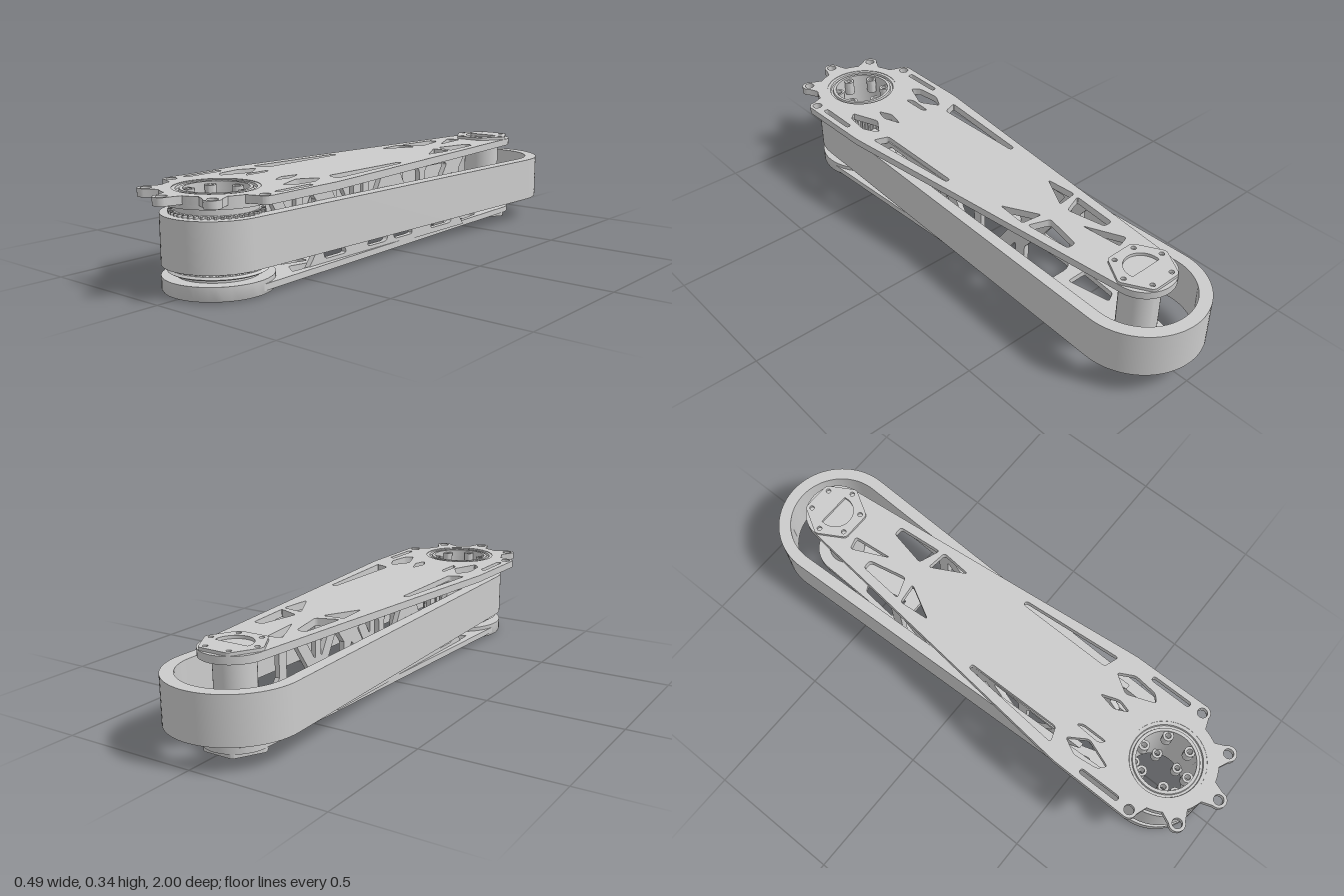
import * as THREE from 'three';
import { toCreasedNormals } from 'three/addons/utils/BufferGeometryUtils.js';

const HUB = 0.75, TIP = -0.77; // z of the two joint axes
const material = new THREE.MeshStandardMaterial({ color: 0xcccccc });
const V = (x, y) => new THREE.Vector2(x, y);
const polar = (cx, cy, r, a) => V(cx + r * Math.cos(a), cy + r * Math.sin(a));
const arc = (cx, cy, r, a0, a1, n = 24) =>
  Array.from({ length: n + 1 }, (_, i) => polar(cx, cy, r, a0 + ((a1 - a0) * i) / n));
const circle = (cx, cy, r, n = 32) => new THREE.Path(arc(cx, cy, r, 0, Math.PI * 2, n).slice(0, n));

// polygon with softened corners
function rounded(pts, r = 0.012) {
  const path = new THREE.Path();
  pts.forEach((p, i) => {
    const toward = (q) => {
      const d = q.clone().sub(p);
      return p.clone().add(d.setLength(Math.min(r, d.length() * 0.45)));
    };
    const a = toward(pts[(i + pts.length - 1) % pts.length]);
    const b = toward(pts[(i + 1) % pts.length]);
    if (i) path.lineTo(a.x, a.y); else path.moveTo(a.x, a.y);
    path.quadraticCurveTo(p.x, p.y, b.x, b.y);
  });
  path.closePath();
  return path;
}
const poly = (list, mirror = 1) => rounded(list.map(([x, z]) => V(x * mirror, z)));

function add(parent, name, geometry) {
  const mesh = new THREE.Mesh(toCreasedNormals(geometry, 0.5), material);
  mesh.name = name;
  parent.add(mesh);
  return mesh;
}

// horizontal slab: outline in (x, z), from y0 up to y1
function slab(parent, name, outline, holes, y0, y1) {
  const shape = new THREE.Shape(outline);
  shape.holes.push(...holes);
  const g = new THREE.ExtrudeGeometry(shape, { depth: y1 - y0, bevelEnabled: false, curveSegments: 5 });
  return add(parent, name, g.rotateX(Math.PI / 2).translate(0, y1, 0));
}

// turned part around a joint axis, closed profile of [radius, y]
function turned(parent, name, profile, z) {
  const pts = [...profile, profile[0]].map(([r, y]) => V(r, y));
  return add(parent, name, new THREE.LatheGeometry(pts, 48).translate(0, 0, z));
}
const ring = (parent, name, rIn, rOut, y0, y1, z) =>
  turned(parent, name, [[rIn, y0], [rOut, y0], [rOut, y1], [rIn, y1]], z);

// outline around two circles joined by their tangents
function loop(rFront, rBack) {
  const t = Math.asin((rBack - rFront) / (HUB - TIP));
  return [...arc(0, HUB, rFront, t, Math.PI - t, 32), ...arc(0, TIP, rBack, Math.PI - t, Math.PI * 2 + t, 40)];
}

function topPlate(parent) {
  // scalloped front edge with five bolt ears
  const ears = [0, 1, 2, 3, 4].map((k) => (k * Math.PI) / 4);
  const outline = [V(0.195, 0), V(0.238, 0.4), V(0.243, 0.45)];
  ears.forEach((a, k) => {
    const c = polar(0, HUB, 0.217, a);
    const first = k === 0 ? 0 : -1.7, last = k === 4 ? 0 : 1.7;
    outline.push(...arc(c.x, c.y, 0.029, a + first, a + last, 12));
    if (k < 4) outline.push(...arc(0, HUB, 0.18, a + 0.24, a + Math.PI / 4 - 0.24, 6));
  });
  outline.push(V(-0.243, 0.45), V(-0.238, 0.4), V(-0.195, 0));
  outline.push(...arc(0, TIP, 0.115, Math.PI, Math.PI * 2));

  const holes = [circle(0, HUB, 0.14, 48)];
  ears.forEach((a) => { const c = polar(0, HUB, 0.217, a); holes.push(circle(c.x, c.y, 0.018, 16)); });
  for (const s of [1, -1]) {
    holes.push(
      poly([[0.07, -0.54], [0.105, -0.54], [0.12, -0.365], [0.04, -0.395]], s),
      poly([[0.045, -0.355], [0.125, -0.345], [0.115, -0.225]], s),
      poly([[0.147, 0.01], [0.165, 0.01], [0.198, 0.4], [0.142, 0.38]], s),
      poly([[0.15, 0.43], [0.182, 0.49], [0.172, 0.58], [0.145, 0.605], [0.105, 0.5]], s),
      poly([[0.203, 0.54], [0.222, 0.54], [0.222, 0.7], [0.202, 0.7]], s));
  }
  holes.push(
    poly([[-0.08, -0.63], [-0.03, -0.645], [-0.015, -0.49]]),
    poly([[0.05, 0.43], [0.075, 0.5], [0.06, 0.55], [0.035, 0.5]]),
    poly([[-0.09, 0.43], [-0.075, 0.45], [-0.075, 0.55], [-0.095, 0.53]]));
  slab(parent, 'topPlate', outline, holes, 0.303, 0.33);
}

function bottomPlate(parent) {
  const holes = [circle(0, HUB, 0.13, 48),
    rounded([V(-0.115, 0.38), V(0.115, 0.38), V(0.105, -0.38), V(-0.105, -0.38)], 0.05)];
  for (const s of [1, -1]) {
    holes.push(
      poly([[0.06, -0.6], [0.1, -0.58], [0.115, -0.43], [0.03, -0.43]], s),
      poly([[0.02, 0.42], [0.08, 0.42], [0.045, 0.53]], s),
      poly([[0.11, 0.42], [0.145, 0.43], [0.14, 0.56], [0.085, 0.52]], s));
  }
  slab(parent, 'bottomPlate', loop(0.18, 0.115), holes, 0.015, 0.037);
}

// upright wall with two triangular windows per bay
function trussWall(parent, name, xOuter) {
  const y0 = 0.03, y1 = 0.31, lo = 0.05, hi = 0.293;
  const shape = new THREE.Shape([V(-0.42, y0), V(0.49, y0), V(0.45, 0.08), V(0.45, 0.26),
    V(0.49, y1), V(-0.42, y1), V(-0.38, 0.26), V(-0.38, 0.08)]);
  const posts = [0.43, 0.24, 0.05, -0.14, -0.355];
  for (let i = 0; i < 4; i++) {
    const a = posts[i + 1] + 0.018, b = posts[i] - 0.018, g = 0.035;
    const flip = (z) => (i % 2 ? a + b - z : z);
    shape.holes.push(
      rounded([V(flip(a), lo + g), V(flip(a), hi), V(flip(b - g), hi)], 0.02),
      rounded([V(flip(b), hi - g), V(flip(b), lo), V(flip(a + g), lo)], 0.02));
  }
  const g = new THREE.ExtrudeGeometry(shape, { depth: 0.02, bevelEnabled: false, curveSegments: 4 });
  add(parent, name, g.rotateY(-Math.PI / 2).translate(xOuter, 0, 0));
}

// hexagonal cap with bolt holes and a D-shaped socket
function shaftCap(parent, name, y0, y1, open) {
  const outline = [], holes = [];
  for (let k = 0; k < 6; k++) {
    const a = (k * Math.PI) / 3, c = polar(0, TIP, 0.092, a);
    outline.push(...arc(c.x, c.y, 0.021, a - Math.PI / 6, a + Math.PI / 6, 6));
    holes.push(circle(c.x, c.y, 0.009, 12));
  }
  if (open) holes.push(new THREE.Path(arc(0, TIP, 0.065, -0.2, Math.PI + 0.2)));
  slab(parent, name, outline, holes, y0, y1);
}

function frontHub(parent) {
  const hub = new THREE.Group();
  hub.name = 'frontHub';
  parent.add(hub);
  // toothed pulley inside the belt
  const teeth = [];
  const n = 44;
  for (let i = 0; i < n; i++) {
    [[0, 0.138], [0.2, 0.154], [0.5, 0.154], [0.7, 0.138]].forEach(([f, r]) =>
      teeth.push(polar(0, HUB, r, ((i + f) / n) * Math.PI * 2)));
  }
  slab(hub, 'pulley', teeth, [circle(0, HUB, 0.105, 48)], 0.072, 0.262);
  turned(hub, 'pulleyFlange', [[0.105, 0.064], [0.155, 0.064], [0.163, 0.069], [0.155, 0.076], [0.105, 0.076]], HUB);
  ring(hub, 'hubSleeve', 0.105, 0.135, 0.03, 0.3, HUB);
  ring(hub, 'upperBearingSeat', 0.12, 0.18, 0.289, 0.303, HUB);
  turned(hub, 'upperBearing', [[0.105, 0.29], [0.142, 0.29], [0.142, 0.328], [0.128, 0.328], [0.126, 0.32],
    [0.118, 0.32], [0.116, 0.328], [0.105, 0.328]], HUB);
  turned(hub, 'lowerBearingHousing', [[0.105, 0.01], [0.12, 0.01], [0.122, 0.018], [0.135, 0.018], [0.137, 0.008],
    [0.152, 0.008], [0.154, 0.014], [0.164, 0.014], [0.166, 0.004], [0.178, 0.004], [0.181, 0.01],
    [0.181, 0.052], [0.105, 0.052]], HUB);
  // bolt bosses around the bore
  for (let k = 0; k < 6; k++) {
    const a = Math.PI / 2 + (k * Math.PI) / 3, c = polar(0, HUB, 0.091, a);
    for (const [y0, y1] of [[0.265, 0.32], [0.02, 0.07]]) {
      slab(hub, 'boltBoss', arc(c.x, c.y, 0.019, 0, Math.PI * 2, 20).slice(0, 20), [circle(c.x, c.y, 0.01, 14)], y0, y1);
    }
  }
}

export function createModel() {
  const model = new THREE.Group();
  model.name = 'beltDrivenArm';

  slab(model, 'driveBelt', loop(0.18, 0.232), [new THREE.Path(loop(0.137, 0.187))], 0.088, 0.254);
  topPlate(model);
  bottomPlate(model);
  trussWall(model, 'leftTrussWall', 0.147);
  trussWall(model, 'rightTrussWall', -0.127);
  frontHub(model);

  // rear joint
  ring(model, 'rearShaft', 0.001, 0.07, 0.03, 0.31, TIP);
  shaftCap(model, 'upperShaftCap', 0.328, 0.341, true);
  shaftCap(model, 'lowerShaftCap', 0, 0.016, false);
  return model;
}
